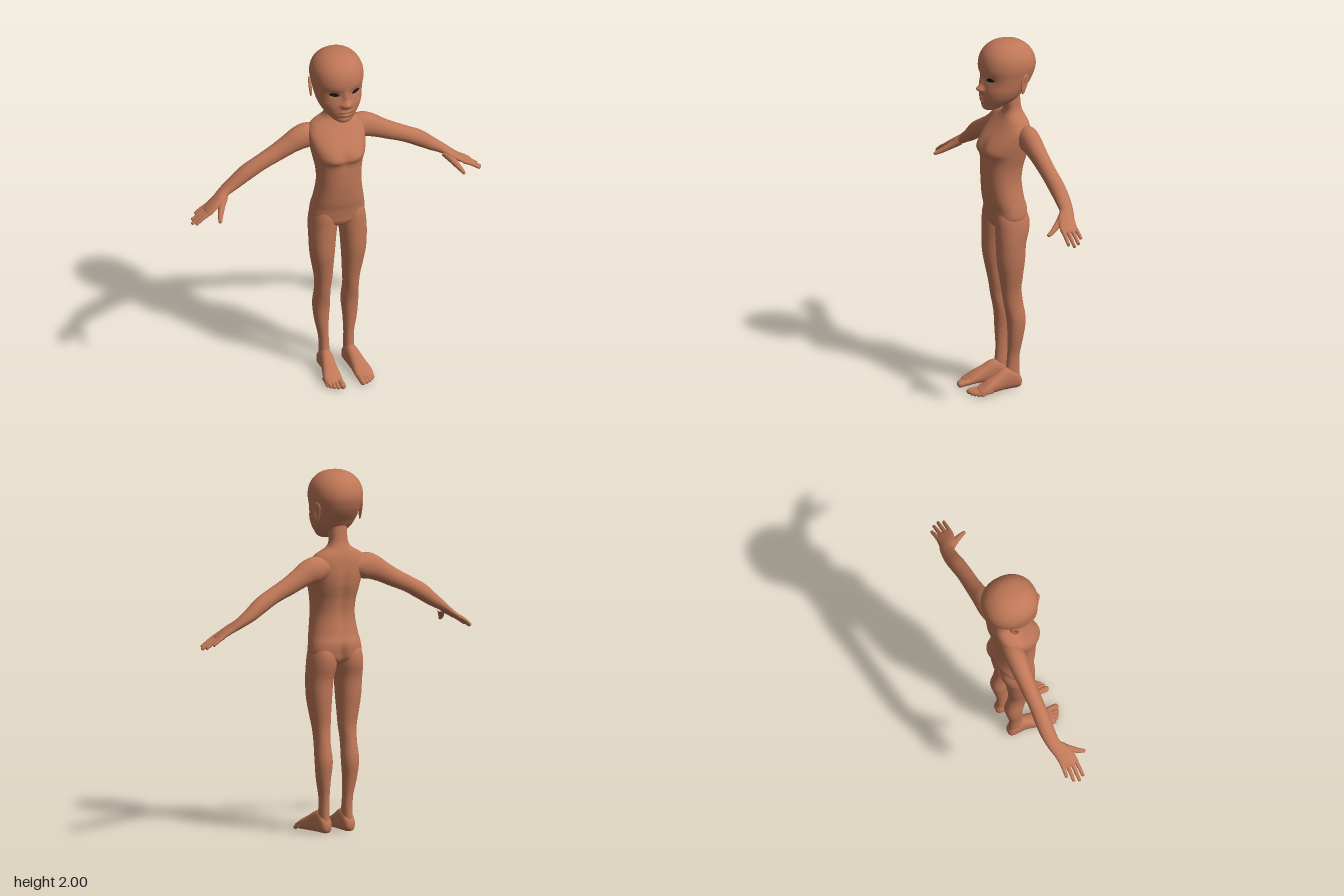
import * as THREE from 'three';

const V = (x, y, z) => new THREE.Vector3(x, y, z);
const skin = new THREE.MeshStandardMaterial({ color: 0xbf7757 });
skin.name = 'skin';
const eyeDark = new THREE.MeshStandardMaterial({ color: 0x0e1a18 });
eyeDark.name = 'eyeDark';

const bell = (d, s) => Math.exp(-(d * d) / (2 * s * s));

// Smooth skin over rows of [x, y, z, a, b]: b is the half size along ref, a the half size across it.
function loft(rows, { ref = V(0, 0, 1), axis = null, seg = 28, sub = 5, power = 2, warp = null } = {}) {
  const path = new THREE.CatmullRomCurve3(rows.map(r => V(r[0], r[1], r[2])), false, 'catmullrom', 0.5);
  const size = new THREE.CatmullRomCurve3(rows.map(r => V(r[3], r[4], 0)), false, 'catmullrom', 0.5);
  const n = (rows.length - 1) * sub;
  const pos = [], idx = [];
  const bow = c => Math.sign(c) * Math.pow(Math.abs(c), 2 / power);
  for (let i = 0; i <= n; i++) {
    const c = path.getPoint(i / n), s = size.getPoint(i / n);
    const t = axis || path.getTangent(i / n);
    const v = ref.clone().addScaledVector(t, -ref.dot(t)).normalize();
    const u = v.clone().cross(t);
    for (let j = 0; j < seg; j++) {
      const a = (j / seg) * Math.PI * 2;
      const p = c.clone()
        .addScaledVector(u, bow(Math.cos(a)) * Math.max(0, s.x))
        .addScaledVector(v, bow(Math.sin(a)) * Math.max(0, s.y));
      if (warp) warp(p, c);
      pos.push(p.x, p.y, p.z);
      if (i < n) {
        const k = (j + 1) % seg, A = i * seg + j, B = i * seg + k;
        idx.push(A, B, A + seg, B, B + seg, A + seg);
      }
    }
  }
  const g = new THREE.BufferGeometry();
  g.setAttribute('position', new THREE.Float32BufferAttribute(pos, 3));
  g.setIndex(idx);
  g.computeVertexNormals();
  return g;
}

// Upright loft from rows of [y, x0, x1, z0, z1].
const upright = (rows, opts) => loft(
  rows.map(([y, x0, x1, z0, z1]) => [(x0 + x1) / 2, y, (z0 + z1) / 2, (x1 - x0) / 2, (z1 - z0) / 2]),
  { axis: V(0, 1, 0), ...opts });
const symmetric = rows => rows.map(([y, w, z0, z1]) => [y, -w, w, z0, z1]);
const flip = (rows, s) => rows.map(([x, ...rest]) => [x * s, ...rest]);

function add(parent, name, geometry, material = skin) {
  const m = new THREE.Mesh(geometry, material);
  m.name = name;
  parent.add(m);
  return m;
}

// Chest swell, spine groove and seat cleft.
function shapeTorso(p, c) {
  if (p.z > c.z) {
    p.z += 0.01 * bell(Math.abs(p.x) - 0.07, 0.035) * bell(p.y - 1.39, 0.03);
    p.z -= 0.006 * bell(p.x, 0.014) * bell(p.y - 1.39, 0.05);
  } else {
    p.z += 0.012 * bell(p.x, 0.018) * bell(p.y - 1.32, 0.12);
    p.z += 0.022 * bell(p.x, 0.014) * bell(p.y - 0.98, 0.04);
  }
}

// Nose, eye sockets, lips and chin.
function shapeFace(p, c) {
  if (p.z < c.z) return;
  const { x, y } = p, ax = Math.abs(x);
  p.z += 0.026 * bell(x, 0.015) * bell(y - 1.74, 0.014)
    + 0.013 * bell(x, 0.012) * bell(y - 1.778, 0.026)
    + 0.010 * bell(ax - 0.02, 0.008) * bell(y - 1.735, 0.008)
    - 0.011 * bell(ax - 0.06, 0.024) * bell(y - 1.802, 0.015)
    + 0.008 * bell(x, 0.022) * bell(y - 1.69, 0.006)
    + 0.009 * bell(x, 0.019) * bell(y - 1.668, 0.006)
    - 0.004 * bell(x, 0.028) * bell(y - 1.679, 0.003)
    - 0.004 * bell(x, 0.025) * bell(y - 1.652, 0.006);
}

// Almond plate laid on the face.
function eyePlate(head, s) {
  const pos = [], idx = [], cols = 20, rows = 6;
  const ray = new THREE.Raycaster();
  for (let i = 0; i <= cols; i++) {
    const u = (i / cols) * 2 - 1, h = 1 - u * u;
    for (let j = 0; j <= rows; j++) {
      const x = s * 0.063 + u * 0.028;
      const y = 1.8 + s * u * 0.003 + h * (-0.01 + 0.024 * j / rows);
      ray.set(V(x, y, 1), V(0, 0, -1));
      const hit = ray.intersectObject(head)[0];
      pos.push(x, y, (hit ? hit.point.z : 0.06) + 0.002);
      if (i < cols && j < rows) {
        const a = i * (rows + 1) + j, b = a + rows + 1;
        idx.push(a, b, a + 1, b, b + 1, a + 1);
      }
    }
  }
  const g = new THREE.BufferGeometry();
  g.setAttribute('position', new THREE.Float32BufferAttribute(pos, 3));
  g.setIndex(idx);
  g.computeVertexNormals();
  return g;
}

// Flat, dished ear, narrower at the lobe and flared at the back.
function earShape(s) {
  const g = new THREE.SphereGeometry(1, 28, 20), p = g.attributes.position;
  for (let i = 0; i < p.count; i++) {
    let x = p.getX(i), y = p.getY(i), z = p.getZ(i);
    const r = Math.hypot(y, z);
    if (x * s > 0) x -= s * 1.1 * bell(r, 0.45);
    p.setXYZ(i, x * 0.011, y * 0.058, z * 0.032 * (0.8 + 0.25 * y) - y * 0.008);
  }
  g.rotateY(s * 0.4);
  g.rotateZ(-s * 0.12);
  g.translate(s * 0.14, 1.778, -0.095);
  g.computeVertexNormals();
  return g;
}

// Tapered, round-tipped finger or toe through the given points.
function digit(points, r0, r1, ref) {
  const n = points.length - 1;
  const rows = points.map((p, i) => {
    const r = r0 + (r1 - r0) * (i / n);
    return [...p, r, r];
  });
  const tip = V(...points[n]), dir = tip.clone().sub(V(...points[n - 1])).normalize();
  [[0.6, 0.8], [0.9, 0.45], [1, 0]].forEach(([d, k]) => {
    const q = tip.clone().addScaledVector(dir, d * r1);
    rows.push([q.x, q.y, q.z, r1 * k, r1 * k]);
  });
  return loft(rows, { ref, seg: 14, sub: 4 });
}

export function createModel() {
  const model = new THREE.Group();
  model.name = 'figure';

  add(model, 'torso', upright(symmetric([
    [0.918, 0, -0.06, -0.04], [0.93, 0.06, -0.1, 0.02], [0.96, 0.13, -0.135, 0.045],
    [1.0, 0.153, -0.147, 0.052], [1.05, 0.149, -0.149, 0.06], [1.1, 0.139, -0.136, 0.072],
    [1.2, 0.124, -0.125, 0.083], [1.28, 0.126, -0.135, 0.085], [1.34, 0.137, -0.152, 0.086],
    [1.38, 0.146, -0.162, 0.096], [1.44, 0.157, -0.168, 0.07], [1.5, 0.16, -0.165, 0.02],
    [1.54, 0.137, -0.158, -0.012], [1.56, 0.105, -0.152, -0.025], [1.58, 0.07, -0.145, -0.035],
    [1.61, 0.053, -0.135, -0.04], [1.66, 0.05, -0.13, -0.03], [1.72, 0.05, -0.125, -0.03],
  ]), { seg: 72, power: 2.3, warp: shapeTorso }));

  const head = add(model, 'head', upright(symmetric([
    [1.613, 0, 0.045, 0.055], [1.617, 0.03, 0.02, 0.078], [1.63, 0.055, -0.015, 0.088],
    [1.655, 0.08, -0.07, 0.092], [1.69, 0.106, -0.118, 0.097], [1.73, 0.123, -0.148, 0.098],
    [1.77, 0.131, -0.178, 0.093], [1.81, 0.137, -0.2, 0.096], [1.86, 0.144, -0.214, 0.102],
    [1.91, 0.138, -0.206, 0.093], [1.95, 0.117, -0.182, 0.07], [1.98, 0.083, -0.145, 0.034],
    [1.995, 0.045, -0.103, -0.008], [2.0, 0, -0.056, -0.054],
  ]), { seg: 150, sub: 9, power: 2.15, warp: shapeFace }));

  for (const s of [1, -1]) {
    const side = new THREE.Group();
    side.name = s > 0 ? 'leftSide' : 'rightSide';
    model.add(side);

    add(side, 'eye', eyePlate(head, s), eyeDark);
    add(side, 'ear', earShape(s));

    // Arm running into the palm
    add(side, 'arm', loft(flip([
      [0.08, 1.475, -0.11, 0.05, 0.045], [0.15, 1.467, -0.108, 0.072, 0.056],
      [0.2, 1.455, -0.108, 0.069, 0.055], [0.26, 1.425, -0.11, 0.058, 0.05],
      [0.33, 1.388, -0.112, 0.051, 0.045], [0.42, 1.345, -0.112, 0.045, 0.043],
      [0.5, 1.3, -0.115, 0.045, 0.044], [0.57, 1.25, -0.117, 0.037, 0.042],
      [0.635, 1.208, -0.11, 0.027, 0.038], [0.68, 1.178, -0.088, 0.022, 0.046],
      [0.73, 1.146, -0.075, 0.017, 0.05], [0.755, 1.13, -0.075, 0.012, 0.045],
      [0.763, 1.125, -0.075, 0, 0.02],
    ], s), { seg: 32 }));

    // Fingers: [base z, tip x, tip z]
    for (const [z0, x1, z1] of [[-0.113, 0.796, -0.118], [-0.088, 0.825, -0.09], [-0.062, 0.836, -0.06], [-0.037, 0.822, -0.032]]) {
      const y = x => 1.142 - 0.63 * (x - 0.735), xm = (0.735 + x1) / 2;
      add(side, 'finger', digit([[s * 0.735, y(0.735), z0], [s * xm, y(xm) + 0.003, (z0 + z1) / 2], [s * x1, y(x1), z1]], 0.0125, 0.009, V(0, 0, 1)));
    }
    add(side, 'thumb', digit([[s * 0.645, 1.19, -0.085], [s * 0.672, 1.16, -0.045], [s * 0.697, 1.13, 0], [s * 0.71, 1.114, 0.032]], 0.024, 0.01, V(0, 1, 0)));

    const legRows = [
      [1.08, 0.03, 0.12, -0.1, 0.03], [1.0, 0.01, 0.15, -0.142, 0.046], [0.93, 0.006, 0.161, -0.143, 0.047],
      [0.85, 0.016, 0.163, -0.122, 0.046], [0.75, 0.024, 0.158, -0.115, 0.042], [0.65, 0.03, 0.142, -0.105, 0.025],
      [0.58, 0.033, 0.13, -0.1, 0.012], [0.5, 0.04, 0.125, -0.11, 0], [0.4, 0.035, 0.13, -0.125, -0.02],
      [0.3, 0.043, 0.121, -0.112, -0.025], [0.2, 0.046, 0.102, -0.096, -0.026], [0.12, 0.044, 0.1, -0.095, -0.018],
      [0.06, 0.046, 0.1, -0.098, 0], [0.03, 0.05, 0.095, -0.09, 0],
    ];
    add(side, 'leg', upright(
      legRows.map(([y, x0, x1, z0, z1]) => s > 0 ? [y, x0, x1, z0, z1] : [y, -x1, -x0, z0, z1]).reverse(),
      { seg: 36, power: 2.15 }));

    // Foot from heel to ball, flat underneath
    add(side, 'foot', loft(flip([
      [0.073, 0.04, -0.107, 0, 0], [0.073, 0.04, -0.101, 0.026, 0.022], [0.073, 0.05, -0.08, 0.046, 0.034],
      [0.073, 0.063, -0.04, 0.06, 0.036], [0.075, 0.063, 0, 0.06, 0.037], [0.082, 0.049, 0.05, 0.046, 0.042],
      [0.088, 0.036, 0.1, 0.033, 0.049], [0.09, 0.025, 0.135, 0.022, 0.05], [0.088, 0.018, 0.16, 0.014, 0.042],
      [0.086, 0.016, 0.17, 0, 0.02],
    ], s), { axis: V(0, 0, 1), ref: V(1, 0, 0), power: 2.4, warp: p => { p.y = Math.max(p.y, 0.002); } }));

    // Toes: [x, tip z, radius]
    for (const [x, z, r] of [[0.058, 0.196, 0.0165], [0.083, 0.192, 0.0115], [0.102, 0.182, 0.011], [0.118, 0.168, 0.0105], [0.131, 0.152, 0.01]]) {
      add(side, 'toe', digit([[s * x, 0.022, z - 0.06], [s * x, 0.02, z - 0.025], [s * x, r, z]], r, r, V(1, 0, 0)));
    }
  }
  return model;
}
